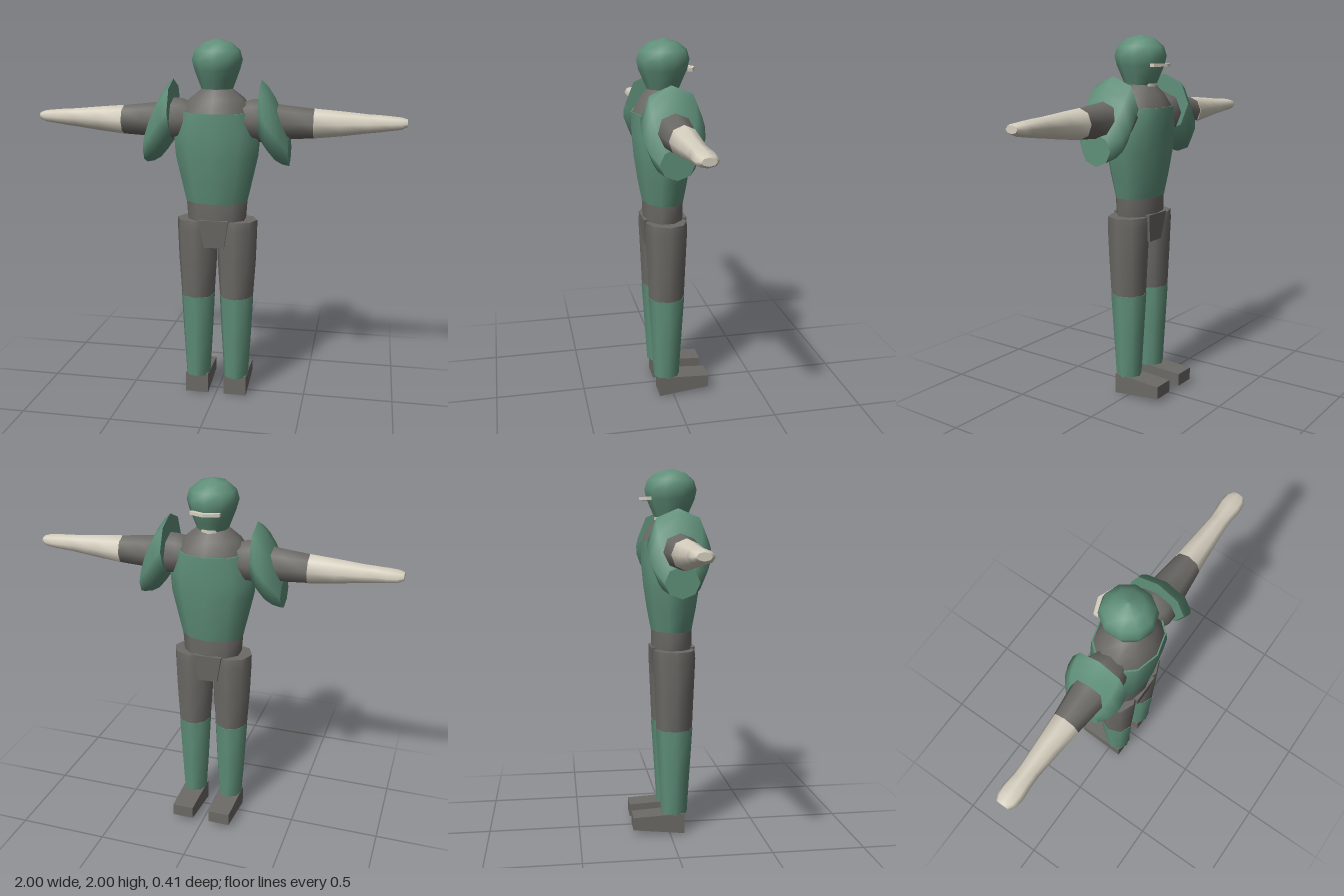
import * as THREE from 'three';

const mat = (name, color) => {
  const m = new THREE.MeshStandardMaterial({ color });
  m.name = name;
  return m;
};

// Skin closed rings of points: smooth sides, crisp flat end caps.
function skin(rings) {
  const n = rings[0].length, pos = [], idx = [];
  rings.forEach(r => r.forEach(p => pos.push(...p)));
  for (let k = 0; k < rings.length - 1; k++) {
    for (let i = 0; i < n; i++) {
      const j = (i + 1) % n, a = k * n, b = a + n;
      idx.push(a + i, a + j, b + j, a + i, b + j, b + i);
    }
  }
  [rings[0], rings[rings.length - 1]].forEach((r, end) => {
    const base = pos.length / 3;
    r.forEach(p => pos.push(...p));
    for (let i = 1; i < n - 1; i++) {
      if (end) idx.push(base, base + i, base + i + 1);
      else idx.push(base, base + i + 1, base + i);
    }
  });
  const g = new THREE.BufferGeometry();
  g.setAttribute('position', new THREE.Float32BufferAttribute(pos, 3));
  g.setIndex(idx);
  g.computeVertexNormals();
  return g;
}

const ring = (n, f) => Array.from({ length: n }, (_, i) => {
  const t = (i / n) * Math.PI * 2;
  return f(Math.cos(t), Math.sin(t));
});

// Upright loft; sections are [y, radiusX, radiusZ], bottom to top.
const upright = (n, cx, cz, sections) => skin(sections.map(([y, rx, rz]) =>
  ring(n, (c, s) => [cx + rx * s, y, cz + rz * c])));

// Sideways loft on side s; sections are [x, centreY, radiusY, radiusZ], inner to outer.
const sideways = (n, s, cz, sections) => skin(sections.map(([x, cy, ry, rz]) =>
  ring(n, (c, sn) => [s * x, cy + ry * c, cz + s * rz * sn])));

// Tapered box; sections are [y, x0, x1, z0, z1], bottom to top.
const taperedBox = sections => skin(sections.map(([y, x0, x1, z0, z1]) =>
  [[x0, y, z1], [x1, y, z1], [x1, y, z0], [x0, y, z0]])).toNonIndexed();

export function createModel() {
  const green = mat('armour green', 0x5f8f79);
  const grey = mat('suit grey', 0x6c6a66);
  const cream = mat('cream', 0xd5cfbf);
  const model = new THREE.Group();
  model.name = 'armouredFigure';
  const add = (name, geometry, material) => {
    const m = new THREE.Mesh(geometry, material);
    m.name = name;
    model.add(m);
    return m;
  };
  const Z = 0.03;

  // Head, neck and visor
  add('head', upright(10, 0, 0.025, [
    [1.735, 0.083, 0.085], [1.78, 0.1, 0.105], [1.84, 0.122, 0.132], [1.89, 0.136, 0.143],
    [1.94, 0.122, 0.128], [1.98, 0.075, 0.08], [2.0, 0.004, 0.004]]), green);
  add('neck', upright(10, 0, 0.005, [[1.69, 0.065, 0.07], [1.76, 0.065, 0.07]]), cream);
  const visor = new THREE.Shape([
    [-0.08, 0.115], [-0.08, 0.09], [0, 0.12], [0.08, 0.09], [0.08, 0.115], [0, 0.147],
  ].map(p => new THREE.Vector2(...p)));
  const visorGeo = new THREE.ExtrudeGeometry(visor, { depth: 0.016, bevelEnabled: false });
  visorGeo.rotateX(-Math.PI / 2).translate(0, 1.835, 0);
  add('visor', visorGeo, cream);

  // Torso
  add('yoke', upright(10, 0, Z, [
    [1.6, 0.19, 0.16], [1.62, 0.195, 0.163], [1.69, 0.15, 0.125], [1.74, 0.085, 0.085]]), grey);
  add('chestArmour', upright(10, 0, Z, [
    [1.13, 0.172, 0.115], [1.25, 0.2, 0.138], [1.38, 0.23, 0.157],
    [1.5, 0.24, 0.168], [1.62, 0.207, 0.17]]), green);
  add('waist', upright(10, 0, Z, [[1.0, 0.155, 0.108], [1.04, 0.165, 0.113], [1.14, 0.172, 0.114]]), grey);

  // Pelvis flap
  add('pelvis', taperedBox([
    [0.885, -0.055, 0.055, -0.075, 0.135], [1.04, -0.082, 0.082, -0.09, 0.15]]), grey);
  model.children.at(-1).geometry.computeVertexNormals();

  for (const s of [1, -1]) {
    const side = s > 0 ? 'left' : 'right';
    const cx = s * 0.11;

    // Arm
    add(side + 'UpperArm', sideways(8, s, Z, [
      [0.13, 1.575, 0.09, 0.09], [0.19, 1.575, 0.112, 0.113], [0.25, 1.575, 0.115, 0.115],
      [0.3, 1.57, 0.098, 0.1], [0.4, 1.568, 0.088, 0.088], [0.52, 1.565, 0.078, 0.074]]), grey);
    add(side + 'Forearm', sideways(8, s, Z - 0.002, [
      [0.52, 1.565, 0.079, 0.075], [0.66, 1.567, 0.066, 0.063], [0.8, 1.57, 0.05, 0.052],
      [0.86, 1.572, 0.045, 0.053], [0.92, 1.574, 0.038, 0.06], [0.97, 1.575, 0.032, 0.055],
      [1.0, 1.578, 0.02, 0.036]]), cream);

    // Shoulder shell, sweeping outward and down
    add(side + 'ShoulderPad', sideways(8, s, Z, [
      [0.24, 1.625, 0.165, 0.16], [0.275, 1.583, 0.173, 0.166], [0.315, 1.53, 0.166, 0.16],
      [0.355, 1.475, 0.133, 0.136], [0.393, 1.418, 0.083, 0.092]]), green);

    // Leg
    add(side + 'Thigh', upright(8, cx, Z, [
      [0.58, 0.094, 0.1], [0.8, 0.108, 0.109], [0.98, 0.114, 0.117], [1.03, 0.114, 0.112]]), grey);
    add(side + 'Shin', upright(8, cx, Z, [
      [0.105, 0.069, 0.073], [0.35, 0.084, 0.088], [0.59, 0.096, 0.103]]), green);

    // Foot: a box with its toe end (-z) narrowed
    const foot = new THREE.BoxGeometry(0.13, 0.115, 0.285);
    foot.translate(cx, 0.0575, -0.0625);
    const p = foot.attributes.position;
    for (let i = 0; i < p.count; i++) {
      if (p.getZ(i) < 0) {
        p.setY(i, p.getY(i) > 0.05 ? 0.1 : 0.03);
        p.setX(i, cx + (p.getX(i) - cx) * 0.93);
      }
    }
    foot.computeVertexNormals();
    add(side + 'Foot', foot, grey);
  }
  return model;
}
